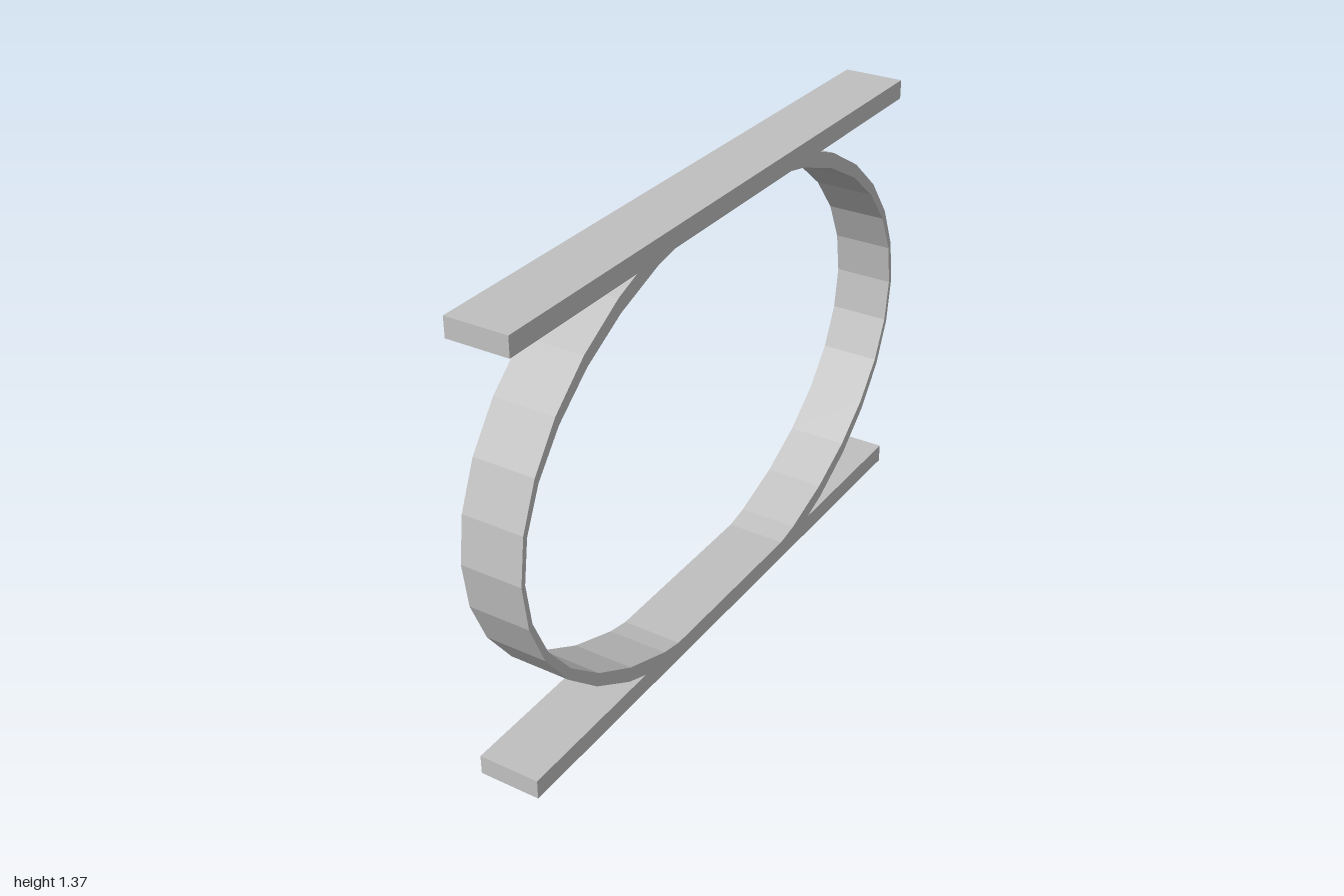
import * as THREE from 'three';

const WIDTH = 0.187;
const MID_Y = 0.687;
const BAR_HEIGHT = 0.059;

export function createModel() {
  const group = new THREE.Group();
  group.name = 'ovalRingFrame';
  const grey = new THREE.MeshStandardMaterial({ color: 0xc0c0c0, flatShading: true });
  grey.name = 'light grey';

  // 32-sided ellipse, flattened where it runs inside the bars
  const oval = (a, b, limit) => {
    const points = [];
    for (let i = 0; i < 32; i++) {
      const t = (i / 32) * Math.PI * 2;
      const y = THREE.MathUtils.clamp(b * Math.sin(t), -limit, limit);
      points.push(new THREE.Vector2(a * Math.cos(t), y));
    }
    return points;
  };

  // Oval ring, thicker toward top and bottom
  const shape = new THREE.Shape(oval(1, 0.717, 0.675));
  shape.holes.push(new THREE.Path(oval(0.985, 0.663, 0.663).reverse()));
  const ringGeometry = new THREE.ExtrudeGeometry(shape, { depth: WIDTH, bevelEnabled: false });
  ringGeometry.translate(0, 0, -WIDTH / 2);
  ringGeometry.rotateY(Math.PI / 2);
  const ring = new THREE.Mesh(ringGeometry, grey);
  ring.name = 'ovalRing';
  ring.position.y = MID_Y;
  group.add(ring);

  // Flat bars above and below the ring
  const barGeometry = new THREE.BoxGeometry(WIDTH, BAR_HEIGHT, 1.976);
  for (const [name, side] of [['topBar', 1], ['bottomBar', -1]]) {
    const bar = new THREE.Mesh(barGeometry, grey);
    bar.name = name;
    bar.position.y = MID_Y + side * (MID_Y - BAR_HEIGHT / 2);
    group.add(bar);
  }
  return group;
}
